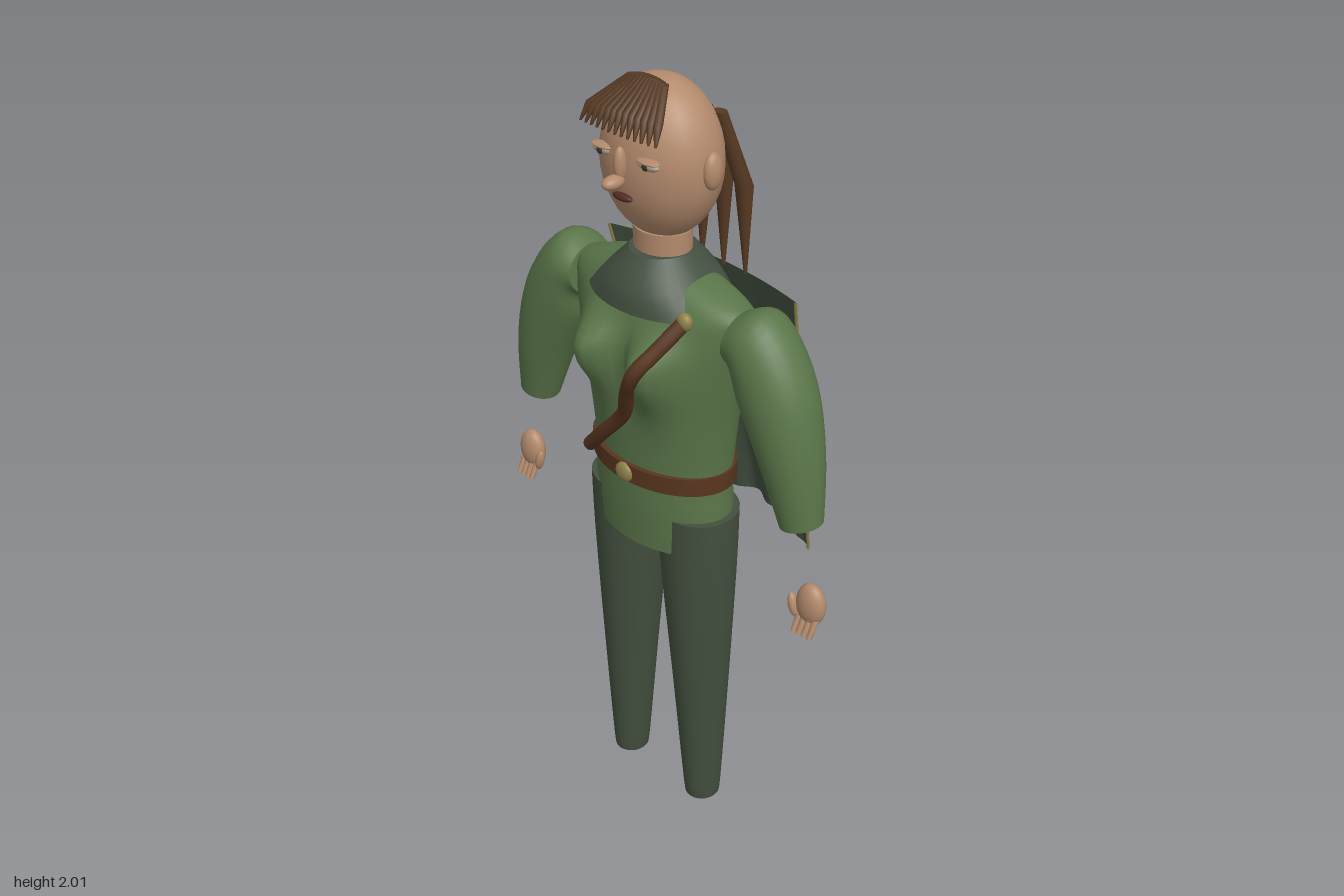
import * as THREE from 'three';

const mat = (name, color, side = THREE.FrontSide) => {
  const m = new THREE.MeshStandardMaterial({ color, side });
  m.name = name;
  return m;
};

// Skin of elliptical rings, listed from bottom to top.
// Each section: [x, y, z, halfWidth, halfDepth, tilt in the xy plane]
function loft(sections, seg = 28, sub = 1) {
  const rows = [];
  const spline = (k, t) => {
    const n = sections.length - 1, i = Math.min(Math.floor(t), n - 1), f = t - i;
    const a = sections[i][k] ?? 0, b = sections[i + 1][k] ?? 0;
    const p = sections[Math.max(i - 1, 0)][k] ?? 0, q = sections[Math.min(i + 2, n)][k] ?? 0;
    const m0 = (b - p) / 2, m1 = (q - a) / 2;
    return (2 * f ** 3 - 3 * f * f + 1) * a + (f ** 3 - 2 * f * f + f) * m0
      + (3 * f * f - 2 * f ** 3) * b + (f ** 3 - f * f) * m1;
  };
  const count = (sections.length - 1) * sub;
  for (let i = 0; i <= count; i++) rows.push([0, 1, 2, 3, 4, 5].map(k => spline(k, i / sub)));
  const pos = [], idx = [];
  const ring = ([x, y, z, w, d, t]) => {
    for (let j = 0; j < seg; j++) {
      const a = j / seg * Math.PI * 2, u = w * Math.cos(a);
      pos.push(x + u * Math.cos(t), y + u * Math.sin(t), z + d * Math.sin(a));
    }
  };
  rows.forEach(ring);
  for (let i = 0; i < count; i++) for (let j = 0; j < seg; j++) {
    const k = (j + 1) % seg, a = i * seg + j, b = i * seg + k;
    idx.push(a, a + seg, b, b, a + seg, b + seg);
  }
  // end caps with their own rings for crisp edges
  [rows[0], rows[count]].forEach((r, top) => {
    const base = pos.length / 3;
    ring(r);
    pos.push(r[0], r[1], r[2]);
    for (let j = 0; j < seg; j++) {
      const a = base + j, b = base + (j + 1) % seg;
      idx.push(base + seg, top ? b : a, top ? a : b);
    }
  });
  const g = new THREE.BufferGeometry();
  g.setAttribute('position', new THREE.Float32BufferAttribute(pos, 3));
  g.setIndex(idx);
  g.computeVertexNormals();
  return g;
}

export function createModel() {
  const model = new THREE.Group();
  const skin = mat('skin', 0xb38a6c), hair = mat('hair', 0x553822);
  const green = mat('tunic green', 0x5a7549), trouser = mat('trouser green', 0x434f3e);
  const cloth = mat('cape green', 0x435040, THREE.DoubleSide), leather = mat('leather', 0x58351f);
  const brass = mat('brass', 0x8f8048), eyeWhite = mat('eye', 0xa89c8a);
  const dark = mat('iris', 0x35352a), lip = mat('lips', 0x522a22);

  const add = (name, geo, material, parent = model) => {
    const m = new THREE.Mesh(geo, material);
    m.name = name;
    parent.add(m);
    return m;
  };
  const ball = (name, material, [x, y, z], [a, b, c], parent = model) => {
    const m = add(name, new THREE.SphereGeometry(1, 24, 18), material, parent);
    m.position.set(x, y, z);
    m.scale.set(a, b, c);
    return m;
  };

  // tunic body, with the chest shaped by moving the front vertices
  const body = loft([
    [0, 0.83, 0.065, 0.195, 0.122], [0, 0.93, 0.065, 0.2, 0.125],
    [0, 1.04, 0.065, 0.197, 0.125], [0, 1.2, 0.065, 0.215, 0.13],
    [0, 1.33, 0.063, 0.243, 0.128], [0, 1.44, 0.06, 0.265, 0.118],
    [0, 1.5, 0.06, 0.25, 0.095], [0, 1.555, 0.062, 0.09, 0.07],
  ], 64, 6);
  const p = body.attributes.position;
  for (let i = 0; i < p.count; i++) {
    const x = p.getX(i), y = p.getY(i), z = p.getZ(i);
    if (z < 0.08) continue;
    const dy = (y - 1.365) / (y > 1.365 ? 0.065 : 0.11), dx = (Math.abs(x) - 0.09) / 0.06;
    p.setZ(i, z + 0.083 * Math.exp(-dx * dx - dy * dy));
  }
  body.computeVertexNormals();
  add('tunic', body, green);
  add('collar', loft([[0, 1.475, 0.065, 0.195, 0.14], [0, 1.53, 0.065, 0.135, 0.128],
    [0, 1.59, 0.065, 0.075, 0.08]], 36, 3), cloth);
  add('neck', loft([[0, 1.54, 0.065, 0.072, 0.062], [0, 1.64, 0.065, 0.072, 0.062]]), skin);

  // belt, buckle and shoulder strap
  add('belt', loft([[0, 1.015, 0.065, 0.205, 0.138], [0, 1.062, 0.065, 0.205, 0.138]], 40), leather);
  ball('buckle', brass, [0, 1.038, 0.203], [0.026, 0.026, 0.013]);
  const strapPath = new THREE.CatmullRomCurve3([
    [-0.135, 1.05, 0.185], [-0.07, 1.12, 0.2], [0.01, 1.21, 0.21], [0.06, 1.305, 0.246],
    [0.1, 1.375, 0.262], [0.13, 1.43, 0.215], [0.157, 1.49, 0.15],
  ].map(v => new THREE.Vector3(...v)));
  add('strap', new THREE.TubeGeometry(strapPath, 40, 0.018, 10), leather);
  ball('strapStud', brass, [0.158, 1.487, 0.16], [0.02, 0.022, 0.016]);

  // head and face
  ball('head', skin, [0, 1.805, 0.065], [0.15, 0.185, 0.125]);
  ball('noseBridge', skin, [0, 1.822, 0.193], [0.014, 0.04, 0.016]);
  ball('noseTip', skin, [0, 1.787, 0.215], [0.019, 0.016, 0.03]);
  ball('mouth', lip, [0, 1.745, 0.188], [0.029, 0.009, 0.011]);

  for (const s of [-1, 1]) {
    const side = s > 0 ? 'left' : 'right';
    ball(side + 'Ear', skin, [s * 0.15, 1.81, 0.065], [0.018, 0.043, 0.026]);
    ball(side + 'Eye', eyeWhite, [s * 0.068, 1.833, 0.176], [0.03, 0.011, 0.013]);
    ball(side + 'Iris', dark, [s * 0.068, 1.833, 0.186], [0.009, 0.009, 0.006]);
    ball(side + 'Eyelid', skin, [s * 0.068, 1.842, 0.177], [0.032, 0.006, 0.017]);

    // sleeve from cuff to shoulder
    add(side + 'Sleeve', loft([
      [s * 0.44, 1.037, 0.07, 0.052, 0.052, s * 0.245],
      [s * 0.405, 1.19, 0.068, 0.076, 0.076, s * 0.32],
      [s * 0.352, 1.335, 0.063, 0.094, 0.09, s * 0.52],
      [s * 0.288, 1.44, 0.06, 0.09, 0.088, s * 1.15],
      [s * 0.24, 1.445, 0.06, 0.062, 0.075, s * 1.5],
    ], 32, 5), green);

    // hand with four fingers and a thumb
    const hand = new THREE.Group();
    hand.name = side + 'Hand';
    model.add(hand);
    ball('palm', skin, [s * 0.483, 0.826, 0.073], [0.04, 0.057, 0.028], hand);
    for (let i = 0; i < 4; i++) {
      const x = s * (0.459 + i * 0.016);
      add('finger', loft([[x, 0.752, 0.105, 0.006, 0.007], [x, 0.795, 0.083, 0.009, 0.009]], 10), skin, hand);
    }
    ball('thumb', skin, [s * 0.441, 0.812, 0.088], [0.012, 0.032, 0.013], hand).rotation.z = s * 0.25;

    // trouser leg
    add(side + 'Leg', loft([
      [s * 0.135, 0, 0.065, 0.044, 0.046], [s * 0.135, 0.02, 0.065, 0.049, 0.051],
      [s * 0.127, 0.4, 0.065, 0.073, 0.075], [s * 0.117, 0.75, 0.065, 0.096, 0.095],
      [s * 0.113, 0.93, 0.065, 0.104, 0.1],
    ], 32, 3), trouser);
  }

  // fringe of fine locks fanning out over the brow
  const fringe = new THREE.Group();
  fringe.name = 'fringe';
  model.add(fringe);
  for (let i = 0; i < 13; i++) {
    const t = i / 6 - 1, drop = 0.008 * t * t;
    add('fringeLock', loft([
      [t * 0.112, 1.893, 0.207 - drop, 0.003, 0.003],
      [t * 0.1, 1.94 - drop, 0.187 - drop, 0.011, 0.01],
      [t * 0.05, 1.995 - drop, 0.108, 0.009, 0.011],
    ], 8), hair, fringe);
  }

  // long locks behind the head
  const backHair = new THREE.Group();
  backHair.name = 'backHair';
  model.add(backHair);
  for (let i = -2; i <= 2; i++) {
    const bend = Math.abs(i) * 0.003;
    add('backLock', loft([
      [i * 0.067, 1.515, -0.066, 0.004, 0.004],
      [i * 0.063, 1.73, -0.07 + bend, 0.023, 0.02],
      [i * 0.045, 1.905, -0.026 + bend, 0.019, 0.016],
    ], 12), hair, backHair);
  }

  // cape: a tapering sheet with folds that deepen toward the hem
  const capePoint = (u, v) => {
    const bow = 1 - u * u;
    const top = -0.052 - 0.042 * bow;
    const hem = -0.233 - 0.035 * bow + 0.012 * Math.sin(u * 12.5 - 2.2) * Math.min(1, bow * 3);
    return new THREE.Vector3(u * (0.295 - 0.068 * v),
      1.505 - v * (0.815 - 0.06 * bow), top + (hem - top) * v);
  };
  const cape = new THREE.PlaneGeometry(2, 1, 60, 16), cp = cape.attributes.position;
  for (let i = 0; i < cp.count; i++) {
    const q = capePoint(cp.getX(i), 0.5 - cp.getY(i));
    cp.setXYZ(i, q.x, q.y, q.z);
  }
  cape.computeVertexNormals();
  add('cape', cape, cloth);
  for (const s of [-1, 1]) {
    const edge = new THREE.LineCurve3(capePoint(s, 0), capePoint(s, 1));
    add('capeTrim', new THREE.TubeGeometry(edge, 1, 0.004, 6), brass);
  }
  return model;
}
